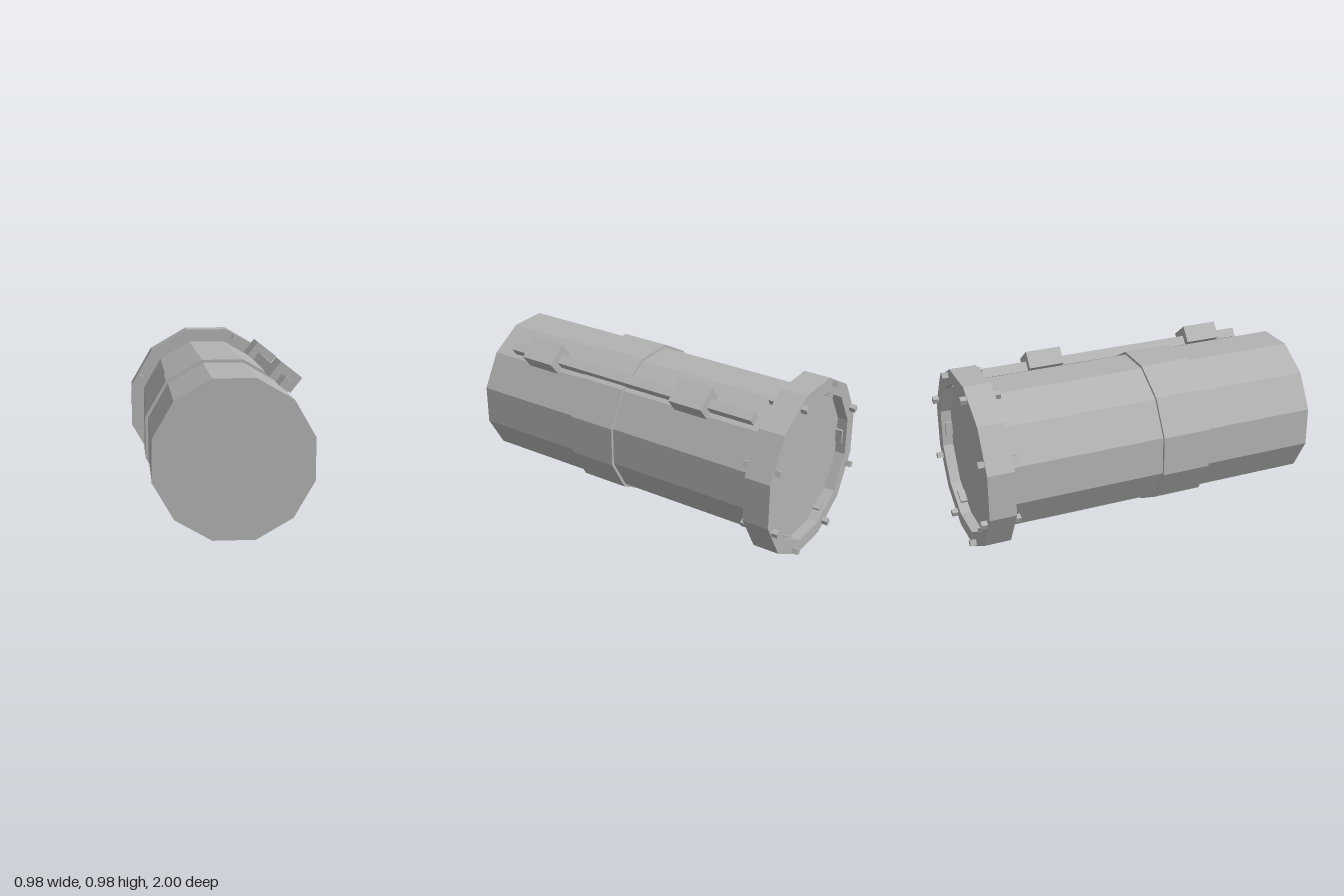
import * as THREE from 'three';

export function createModel() {
  const model = new THREE.Group();
  const grey = new THREE.MeshStandardMaterial({ color: 0xb2b2b2, flatShading: true });
  grey.name = 'grey';

  // everything is laid out around the long axis, which runs along z
  const centreY = 0.488;
  const core = new THREE.Group();
  core.name = 'canister';
  core.position.y = centreY;
  model.add(core);

  const add = (name, geometry) => {
    const mesh = new THREE.Mesh(geometry, grey);
    mesh.name = name;
    core.add(mesh);
    return mesh;
  };

  // twelve-sided outline with a flat on top, sized by its distance across flats
  const outline = (Type, apothem) => {
    const r = apothem / Math.cos(Math.PI / 12);
    const points = [];
    for (let i = 0; i < 12; i++) {
      const a = Math.PI / 12 + (i * Math.PI) / 6;
      points.push(new THREE.Vector2(r * Math.cos(a), r * Math.sin(a)));
    }
    return new Type(points);
  };
  const prism = (name, apothem, z0, z1, hole) => {
    const shape = outline(THREE.Shape, apothem);
    if (hole) shape.holes.push(outline(THREE.Path, hole));
    const geometry = new THREE.ExtrudeGeometry(shape, { depth: z1 - z0, bevelEnabled: false });
    return add(name, geometry.translate(0, 0, z0));
  };

  // box set at an angle around the axis: w radial, h tangential
  const radialBox = (name, degrees, radius, w, h, z0, z1) => {
    const a = THREE.MathUtils.degToRad(degrees);
    const mesh = add(name, new THREE.BoxGeometry(w, h, z1 - z0));
    mesh.position.set(radius * Math.cos(a), radius * Math.sin(a), (z0 + z1) / 2);
    mesh.rotation.z = a;
    return mesh;
  };

  // main tube, raised band and end flange with a recessed back
  prism('body', 0.41, -0.905, 1);
  prism('band', 0.426, 0.07, 0.35, 0.41);
  prism('flange', 0.488, -0.965, -0.815, 0.41);

  // bolts through the flange
  for (let i = 0; i < 8; i++) {
    radialBox('bolt', 22.5 + i * 45, 0.47, 0.031, 0.031, -1, -0.78);
  }

  // locking lugs inside the flange recess
  for (let i = 0; i < 6; i++) {
    radialBox('lug', i * 60, 0.403, 0.016, 0.08, -0.945, -0.905);
  }

  // rail with two clamp blocks on the upper left
  radialBox('rail', 52, 0.453, 0.055, 0.055, -0.745, 0.86);
  radialBox('frontClamp', 52, 0.476, 0.1, 0.14, 0.52, 0.725);
  radialBox('rearClamp', 52, 0.476, 0.1, 0.14, -0.48, -0.275);

  // thin plate under the body
  radialBox('bottomPlate', 270, 0.417, 0.016, 0.21, -0.545, 0.07);

  return model;
}
